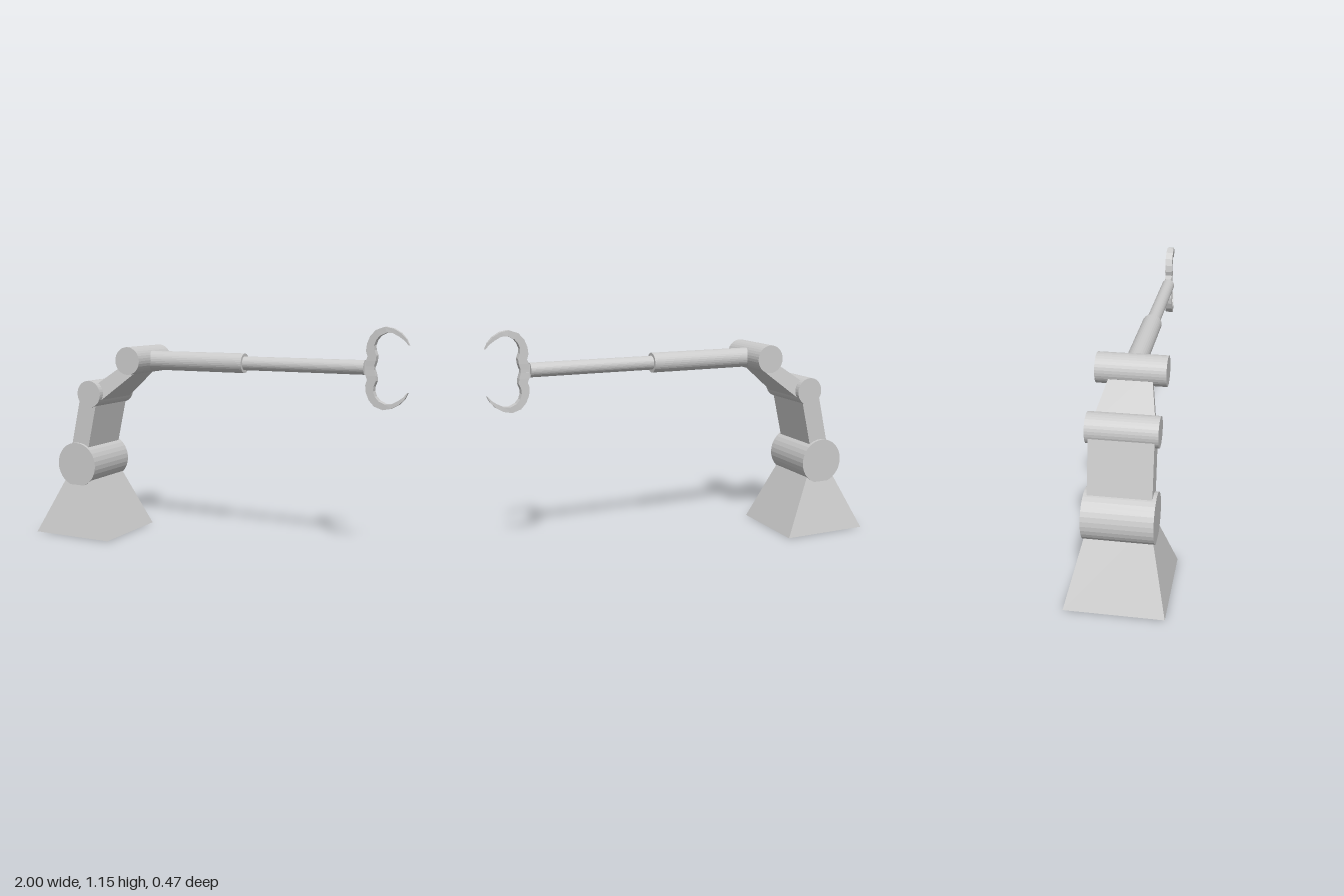
import * as THREE from 'three';

const material = new THREE.MeshStandardMaterial({
  color: 0xcccccc, flatShading: true,
});

function addMesh(parent, name, geometry) {
  const mesh = new THREE.Mesh(geometry, material);
  mesh.name = name;
  parent.add(mesh);
  return mesh;
}

// Closed skin over four-cornered rings
function loft(rings) {
  const index = [];
  for (let i = 0; i < rings.length - 1; i++) {
    for (let j = 0; j < 4; j++) {
      const a = i * 4 + j, b = i * 4 + (j + 1) % 4;
      index.push(b, a, a + 4, b, a + 4, b + 4);
    }
  }
  const e = (rings.length - 1) * 4;
  index.push(0, 1, 2, 0, 2, 3, e, e + 2, e + 1, e, e + 3, e + 2);
  const geometry = new THREE.BufferGeometry();
  geometry.setAttribute('position', new THREE.Float32BufferAttribute(rings.flat(2), 3));
  geometry.setIndex(index);
  geometry.computeVertexNormals();
  return geometry;
}

// Ring from two opposite edges and a half depth
const ring = (x0, y0, x1, y1, d) => [[x0, y0, d], [x0, y0, -d], [x1, y1, -d], [x1, y1, d]];

// Tapered block rising from y = 0
const taper = (height, w0, d0, w1, d1) =>
  loft([ring(-w0, 0, w0, 0, d0), ring(-w1, height, w1, height, d1)]);

export function createModel() {
  const model = new THREE.Group();
  model.name = 'roboticArm';

  // Pedestal
  addMesh(model, 'base', taper(0.385, 0.2325, 0.233, 0.04, 0.137)).position.x = -0.7675;

  // Hinge drums
  const joints = [
    ['shoulderJoint', -0.773, 0.385, 0.12],
    ['elbowJoint', -0.684, 0.775, 0.072],
    ['wristJoint', -0.438, 0.96, 0.072],
  ];
  for (const [name, x, y, r] of joints) {
    const drum = addMesh(model, name, new THREE.CylinderGeometry(r, r, 0.33, 32));
    drum.rotation.x = Math.PI / 2;
    drum.position.set(x, y, 0);
  }

  // Arm links between neighbouring hinges: start/end half sizes, sideways offset
  const links = [
    ['lowerArm', 0.053, 0.148, 0.053, 0.148, -0.008],
    ['upperArm', 0.044, 0.146, 0.035, 0.09, 0.02],
  ];
  links.forEach(([name, w0, d0, w1, d1, shift], i) => {
    const [, x0, y0] = joints[i], [, x1, y1] = joints[i + 1];
    const link = addMesh(model, name, taper(Math.hypot(x1 - x0, y1 - y0), w0, d0, w1, d1));
    link.position.set(x0, y0, 0);
    link.rotation.z = Math.atan2(y1 - y0, x1 - x0) - Math.PI / 2;
    link.translateX(shift);
  });

  // Telescoping forearm
  for (const [name, x0, x1, r] of [
    ['forearmSleeve', -0.438, 0.16, 0.05],
    ['forearmRod', 0.1, 0.79, 0.035],
  ]) {
    const tube = addMesh(model, name, new THREE.CylinderGeometry(r, r, x1 - x0, 32));
    tube.rotation.z = -Math.PI / 2;
    tube.position.set((x0 + x1) / 2, 0.957, 0);
  }

  // Gripper hub
  const gripper = new THREE.Group();
  gripper.name = 'gripper';
  gripper.position.y = 0.955;
  model.add(gripper);
  addMesh(gripper, 'gripperHub', new THREE.BoxGeometry(0.05, 0.06, 0.024)).position.x = 0.812;

  // Curved claws: outer x, y, inner x, y, half depth
  const claw = loft([
    [0.797, 0.008, 0.837, 0.008, 0.018],
    [0.797, 0.035, 0.845, 0.035, 0.019],
    [0.805, 0.055, 0.848, 0.06, 0.019],
    [0.797, 0.08, 0.838, 0.085, 0.019],
    [0.801, 0.115, 0.836, 0.108, 0.019],
    [0.815, 0.15, 0.845, 0.133, 0.019],
    [0.842, 0.18, 0.862, 0.153, 0.019],
    [0.885, 0.195, 0.894, 0.168, 0.018],
    [0.925, 0.187, 0.922, 0.166, 0.015],
    [0.96, 0.167, 0.952, 0.15, 0.012],
    [0.985, 0.14, 0.977, 0.132, 0.009],
    [1.0, 0.11, 0.996, 0.11, 0.007],
  ].map((p) => ring(...p)));
  addMesh(gripper, 'upperClaw', claw);
  addMesh(gripper, 'lowerClaw', claw).rotation.x = Math.PI;

  return model;
}
